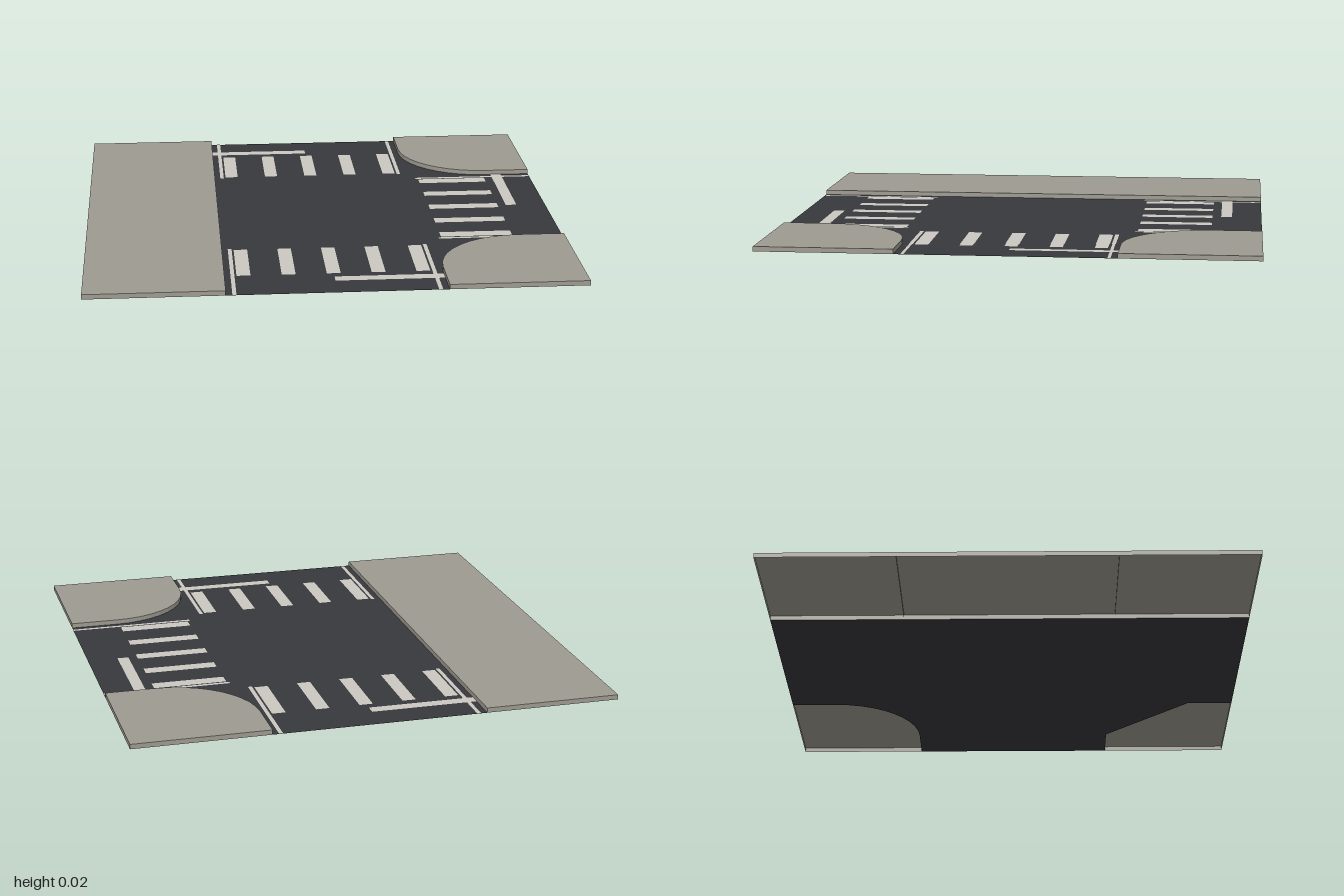
import * as THREE from 'three';

const HEIGHT = 0.02, EDGE = 0.44, BEND = 0.8;

const material = (color) => new THREE.MeshStandardMaterial({ color, side: THREE.DoubleSide, flatShading: true });

function addMesh(parent, name, geometry, mat) {
  const mesh = new THREE.Mesh(geometry, mat);
  mesh.name = name;
  parent.add(mesh);
  return mesh;
}

// Flat face pointing up, from an outline of [x, z] points
function flatFace(points, y = 0) {
  const shape = new THREE.Shape(points.map(([x, z]) => new THREE.Vector2(x, -z)));
  return new THREE.ShapeGeometry(shape).rotateX(-Math.PI / 2).translate(0, y, 0);
}

// Upright walls around a closed outline, facing outward
function outlineWalls(points) {
  const area = points.reduce((sum, [x, z], i) => {
    const [nx, nz] = points[(i + 1) % points.length];
    return sum + x * nz - nx * z;
  }, 0);
  const loop = area > 0 ? [...points].reverse() : points;
  const position = [];
  loop.forEach(([x, z], i) => {
    const [nx, nz] = loop[(i + 1) % loop.length];
    position.push(x, 0, z, nx, 0, nz, nx, HEIGHT, nz);
    position.push(x, 0, z, nx, HEIGHT, nz, x, HEIGHT, z);
  });
  const geometry = new THREE.BufferGeometry();
  geometry.setAttribute('position', new THREE.Float32BufferAttribute(position, 3));
  geometry.computeVertexNormals();
  return geometry;
}

// Raised pavement slab, open underneath
function pavement(name, points, mat) {
  const group = new THREE.Group();
  group.name = name;
  addMesh(group, 'pavementTop', flatFace(points, HEIGHT), mat);
  addMesh(group, 'kerbWalls', outlineWalls(points), mat);
  return group;
}

// Rounded kerb line at a corner; side is the sign of z
function kerbCurve(side, steps = 10) {
  const radius = BEND - EDGE, points = [];
  for (let i = 0; i <= steps; i++) {
    const a = (i / steps) * Math.PI / 2;
    points.push([BEND - radius * Math.cos(a), side * (BEND - radius * Math.sin(a))]);
  }
  return points;
}

// Painted markings of the arm that leads to the back
function armMarkings(name, mat) {
  const group = new THREE.Group();
  group.name = name;
  const stripe = (part, x, z, width, length) => {
    const geometry = new THREE.PlaneGeometry(width, length).rotateX(-Math.PI / 2);
    addMesh(group, part, geometry, mat).position.set(x, 0.001, z);
  };
  for (let i = -2; i <= 2; i++) stripe('crossingStripe', i * 0.181, -0.638, 0.056, 0.303);
  for (const s of [-1, 1]) stripe('edgeLine', s * 0.406, -0.7375, 0.016, 0.525);
  stripe('stopLine', -EDGE / 2, -0.85, EDGE, 0.047);
  return group;
}

export function createModel() {
  const model = new THREE.Group();
  model.name = 'roadJunction';
  const asphalt = material(0x37383d);
  const concrete = material(0x9d9a90);
  const paint = material(0xcac8c1);

  // Road surface
  const roadOutline = [
    [-EDGE, -1], [EDGE, -1], ...kerbCurve(-1), [1, -EDGE],
    [1, EDGE], [BEND, EDGE], [EDGE, BEND], [EDGE, 1], [-EDGE, 1],
  ];
  addMesh(model, 'roadSurface', flatFace(roadOutline), asphalt);

  // Straight pavement in three slabs
  const joints = [-1, -EDGE, EDGE, 1];
  for (let i = 0; i < 3; i++) {
    const [a, b] = [joints[i], joints[i + 1]];
    model.add(pavement('straightPavement', [[-1, a], [-EDGE, a], [-EDGE, b], [-1, b]], concrete));
  }

  // Rounded corner pavements
  for (const side of [-1, 1]) {
    const outline = [[1, side], [EDGE, side], ...kerbCurve(side), [1, side * EDGE]];
    model.add(pavement('cornerPavement', outline, concrete));
  }

  // Markings on the back, left and front arms
  ['backMarkings', 'leftMarkings', 'frontMarkings'].forEach((name, i) => {
    const arm = armMarkings(name, paint);
    arm.rotation.y = -i * Math.PI / 2;
    model.add(arm);
  });

  return model;
}
